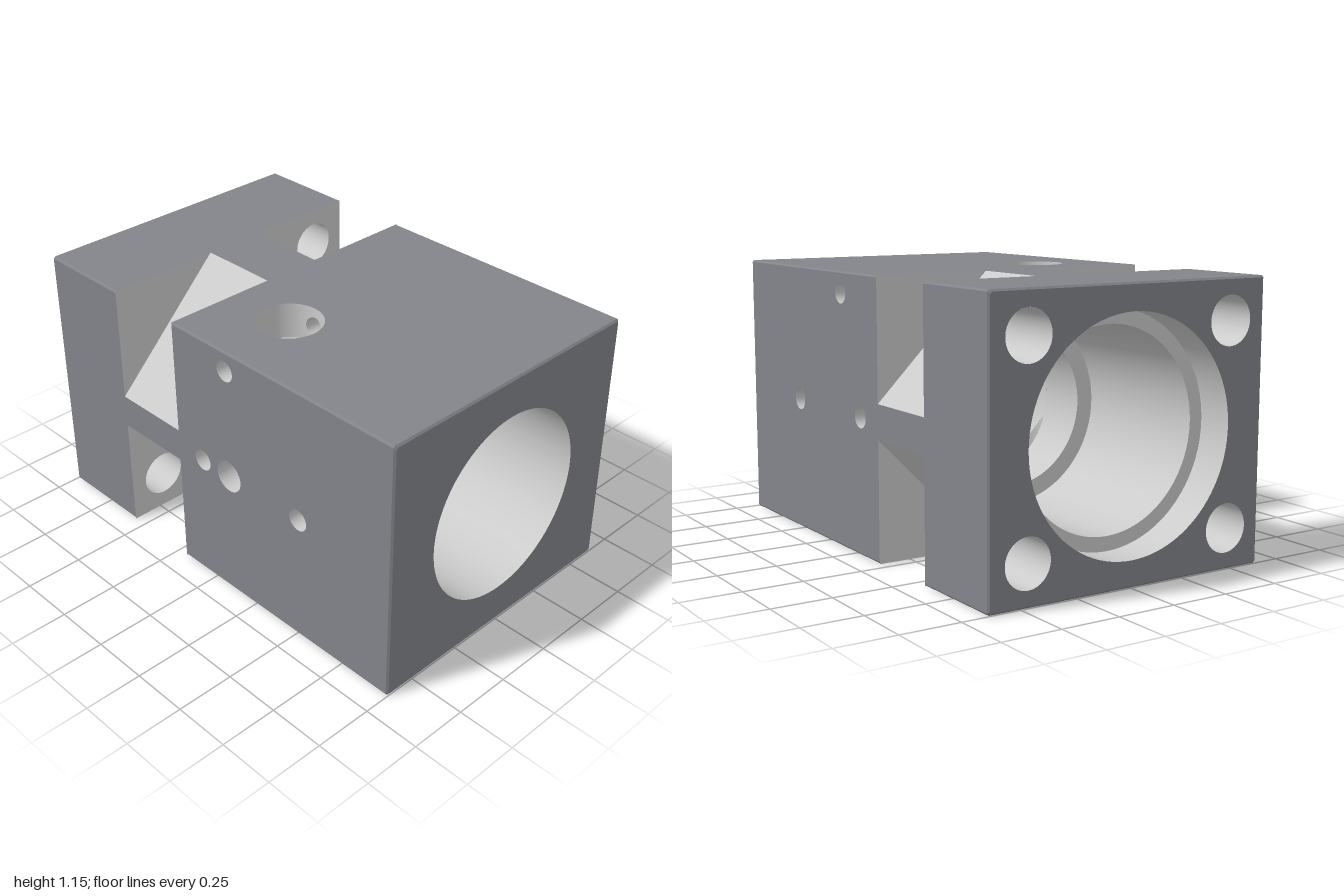
import * as THREE from 'three';

const HY = 0.5775, HZ = 0.64, C = 0.008;          // half height, half depth, edge chamfer
const WAIST0 = -0.56, WAIST1 = -0.2, CUT = 0.505; // notched waist
const BORE = 0.41, LIP = 0.335, SEAT = 0.47;      // bore radii

// Right-handed frames: each lists (e1, e2, normal)
const X = new THREE.Vector3(1, 0, 0), Y = new THREE.Vector3(0, 1, 0), Z = new THREE.Vector3(0, 0, 1);
const FRAMES = { x: [Y, Z, X], y: [Z, X, Y], z: [X, Y, Z] };

const val = (f, p, q) => (typeof f === 'function' ? f(p, q) : f);
const chord = (r, d) => Math.sqrt(Math.max(0, r * r - d * d));

export function createModel() {
  const group = new THREE.Group();
  const body = new THREE.Group();
  body.name = 'bearingBlock';
  body.position.y = HY;
  group.add(body);

  const outer = new THREE.MeshStandardMaterial({ color: 0x82848a, side: THREE.DoubleSide });
  const cut = new THREE.MeshStandardMaterial({ color: 0xcccccc, side: THREE.DoubleSide });

  function add(name, geometry, material) {
    const mesh = new THREE.Mesh(geometry, material);
    mesh.name = name;
    body.add(mesh);
  }

  // Flat face at a distance along an axis, with round holes [p, q, r]
  function plate(name, axis, at, points, holes, material) {
    const shape = new THREE.Shape(points.map(([p, q]) => new THREE.Vector2(p, q)));
    for (const [p, q, r] of holes) {
      shape.holes.push(new THREE.Path().absarc(p, q, r, 0, Math.PI * 2, true));
    }
    const geometry = new THREE.ShapeGeometry(shape, 48);
    geometry.translate(0, 0, at);
    geometry.applyMatrix4(new THREE.Matrix4().makeBasis(...FRAMES[axis]));
    add(name, geometry, material);
  }

  // Flat ring or disc
  function ring(name, axis, at, [p, q], r, inner) {
    const points = Array.from({ length: 96 }, (_, i) => {
      const t = (i / 96) * Math.PI * 2;
      return [p + r * Math.cos(t), q + r * Math.sin(t)];
    });
    plate(name, axis, at, points, inner ? [[p, q, inner]] : [], cut);
  }

  // Inside wall of a drilled hole. Ends may be functions; openings are [position, halfWidth(p, q)]
  function wall(name, axis, [cp, cq], r, start, end, openings = [], n = 64) {
    const pos = [], nor = [], idx = [];
    const cols = 2 + openings.length * 2;
    for (let i = 0; i <= n; i++) {
      const t = (i / n) * Math.PI * 2, c = Math.cos(t), s = Math.sin(t);
      const p = r * c, q = r * s;
      const stops = [val(start, p, q)];
      for (const [at, half] of openings) stops.push(at - half(p, q), at + half(p, q));
      stops.push(val(end, p, q));
      for (const a of stops) {
        pos.push(cp + p, cq + q, a);
        nor.push(-c, -s, 0);
      }
      if (i === n) continue;
      for (let k = 0; k < cols; k += 2) {
        const a = i * cols + k, b = a + cols;
        idx.push(a, a + 1, b, b, a + 1, b + 1);
      }
    }
    const geometry = new THREE.BufferGeometry();
    geometry.setAttribute('position', new THREE.Float32BufferAttribute(pos, 3));
    geometry.setAttribute('normal', new THREE.Float32BufferAttribute(nor, 3));
    geometry.setIndex(idx);
    geometry.applyMatrix4(new THREE.Matrix4().makeBasis(...FRAMES[axis]));
    add(name, geometry, cut);
  }

  // Rectangle with cut corners as [y, z]; even edges are the flats, odd edges the corners
  const octagon = (h, d, c) => [
    [h, c - d], [h, d - c], [h - c, d], [c - h, d],
    [-h, d - c], [-h, c - d], [c - h, -d], [h - c, -d],
  ];

  // Sides between two octagons; parity picks flats (0) or corners (1)
  function loft(name, a, xa, b, xb, parity, material) {
    const pos = [];
    for (let i = parity; i < 8; i += 2) {
      const j = (i + 1) % 8;
      const quad = [[xa, ...a[i]], [xa, ...a[j]], [xb, ...b[j]], [xb, ...b[i]]];
      for (const k of [0, 1, 2, 0, 2, 3]) pos.push(...quad[k]);
    }
    const geometry = new THREE.BufferGeometry();
    geometry.setAttribute('position', new THREE.Float32BufferAttribute(pos, 3));
    // face outwards whichever way the loft runs
    if (xb < xa) for (let i = 0; i < pos.length; i += 9) {
      for (let k = 0; k < 3; k++) {
        const m = geometry.attributes.position.array, t = m[i + 3 + k];
        m[i + 3 + k] = m[i + 6 + k];
        m[i + 6 + k] = t;
      }
    }
    geometry.computeVertexNormals();
    add(name, geometry, material);
  }

  const full = octagon(HY, HZ, C), inset = octagon(HY - C, HZ - C, C), waist = octagon(HY, HZ, CUT);
  const bolts = [];
  for (const sy of [-1, 1]) for (const sz of [-1, 1]) bolts.push([sy * 0.41, sz * 0.47, 0.1]);

  // Flange, waist and main block outer sides
  for (const parity of [0, 1]) {
    loft('flangeSides', full, -1 + C, full, WAIST0, parity, outer);
    loft('flangeChamfer', inset, -1, full, -1 + C, parity, outer);
    loft('blockEndChamfer', full, 1 - C, inset, 1, parity, outer);
    loft(parity ? 'waistSlopes' : 'waistFlats', waist, WAIST0, waist, WAIST1, parity, parity ? cut : outer);
  }
  loft('blockEdgeChamfers', full, WAIST1, full, 1 - C, 1, outer);
  plate('flangeFace', 'x', -1, inset, [[0, 0, SEAT], ...bolts], outer);
  plate('blockEndFace', 'x', 1, inset, [[0, 0, BORE]], outer);

  // Triangular notch cheeks and bolt holes at the four corners
  for (const [y, z, r] of bolts) {
    const sy = Math.sign(y), sz = Math.sign(z);
    const corner = [[sy * HY, sz * (HZ - CUT)], [sy * HY, sz * HZ], [sy * (HY - CUT), sz * HZ]];
    plate('flangeNotchCheek', 'x', WAIST0, corner, [[y, z, r]], cut);
    plate('blockNotchCheek', 'x', WAIST1, corner, [], cut);
    wall('boltHole', 'x', [y, z], r, -1, WAIST0);
  }

  // Main block faces with their drillings
  const PX = 0.11, PZ = 0.3, PR = 0.095, PC = 0.14, LEDGE = 0.4225; // vertical pin hole
  const CROSS = [PX, 0.49], CR = 0.045;                              // cross hole
  const SIDE = [0.51, 0], BLIND = [-0.05, 0], SR = 0.047;            // side holes
  const PORT = [PX, 0], PORT_R = 0.07, PORT_IN = 0.03;               // stepped front port
  const rect = (a0, a1, b0, b1) => [[a0, b0], [a1, b0], [a1, b1], [a0, b1]];
  const zFace = rect(WAIST1, 1 - C, C - HY, HY - C), yFace = rect(C - HZ, HZ - C, WAIST1, 1 - C);
  const sideHoles = [[...CROSS, CR], [...SIDE, SR], [...BLIND, SR]];
  plate('blockFront', 'z', HZ, zFace, [...sideHoles, [...PORT, PORT_R]], outer);
  plate('blockBack', 'z', -HZ, zFace, sideHoles, outer);
  plate('blockTop', 'y', HY, yFace, [[PZ, PX, PC]], outer);
  plate('blockBottom', 'y', -HY, yFace, [[PZ, PX, PR]], outer);

  // Stepped main bore
  const O = [0, 0], SEAT_X = -0.845, LIP0 = -0.2, LIP1 = 0.03;
  wall('seatWall', 'x', O, SEAT, -1, SEAT_X, [], 128);
  ring('seatLedge', 'x', SEAT_X, O, SEAT, BORE);
  wall('innerBore', 'x', O, BORE, SEAT_X, LIP0, [], 128);
  ring('lipFace', 'x', LIP0, O, BORE, LIP);
  wall('lipBore', 'x', O, LIP, LIP0, LIP1, [], 128);
  ring('lipFace', 'x', LIP1, O, BORE, LIP);
  wall('mainBore', 'x', O, BORE, LIP1, 1, [
    [PX, (y, z) => Math.max(chord(PR, z - PZ), z > 0 ? chord(PORT_IN, y) : 0)],
    [SIDE[0], (y) => chord(SR, y)],
  ], 512);

  // Vertical pin hole, counterbored at the top and open to the bore
  const pin = [PZ, PX];
  wall('pinCounterbore', 'y', pin, PC, LEDGE, HY, [[CROSS[1], (z, x) => chord(CR, x)]], 256);
  ring('pinLedge', 'y', LEDGE, pin, PC, PR);
  wall('pinHoleUpper', 'y', pin, PR, (z) => chord(BORE, z + PZ), LEDGE);
  wall('pinHoleLower', 'y', pin, PR, -HY, (z) => -chord(BORE, z + PZ));

  // Cross hole, meeting the counterbore on both sides
  wall('crossHoleFront', 'z', CROSS, CR, (x) => PZ + chord(PC, x), HZ);
  wall('crossHoleBack', 'z', CROSS, CR, -HZ, (x) => PZ - chord(PC, x));

  // Side holes: one pair open to the bore, one pair blind
  wall('sideHoleFront', 'z', SIDE, SR, (x, y) => chord(BORE, y), HZ);
  wall('sideHoleBack', 'z', SIDE, SR, -HZ, (x, y) => -chord(BORE, y));
  wall('blindHoleFront', 'z', BLIND, SR, 0.5, HZ);
  wall('blindHoleBack', 'z', BLIND, SR, -HZ, -0.5);
  for (const s of [-1, 1]) ring('blindHoleEnd', 'z', s * 0.5, BLIND, SR, 0);

  // Stepped front port
  wall('portCounterbore', 'z', PORT, PORT_R, 0.55, HZ);
  ring('portLedge', 'z', 0.55, PORT, PORT_R, PORT_IN);
  wall('portHole', 'z', PORT, PORT_IN, (x, y) => chord(BORE, y), 0.55);

  return group;
}
